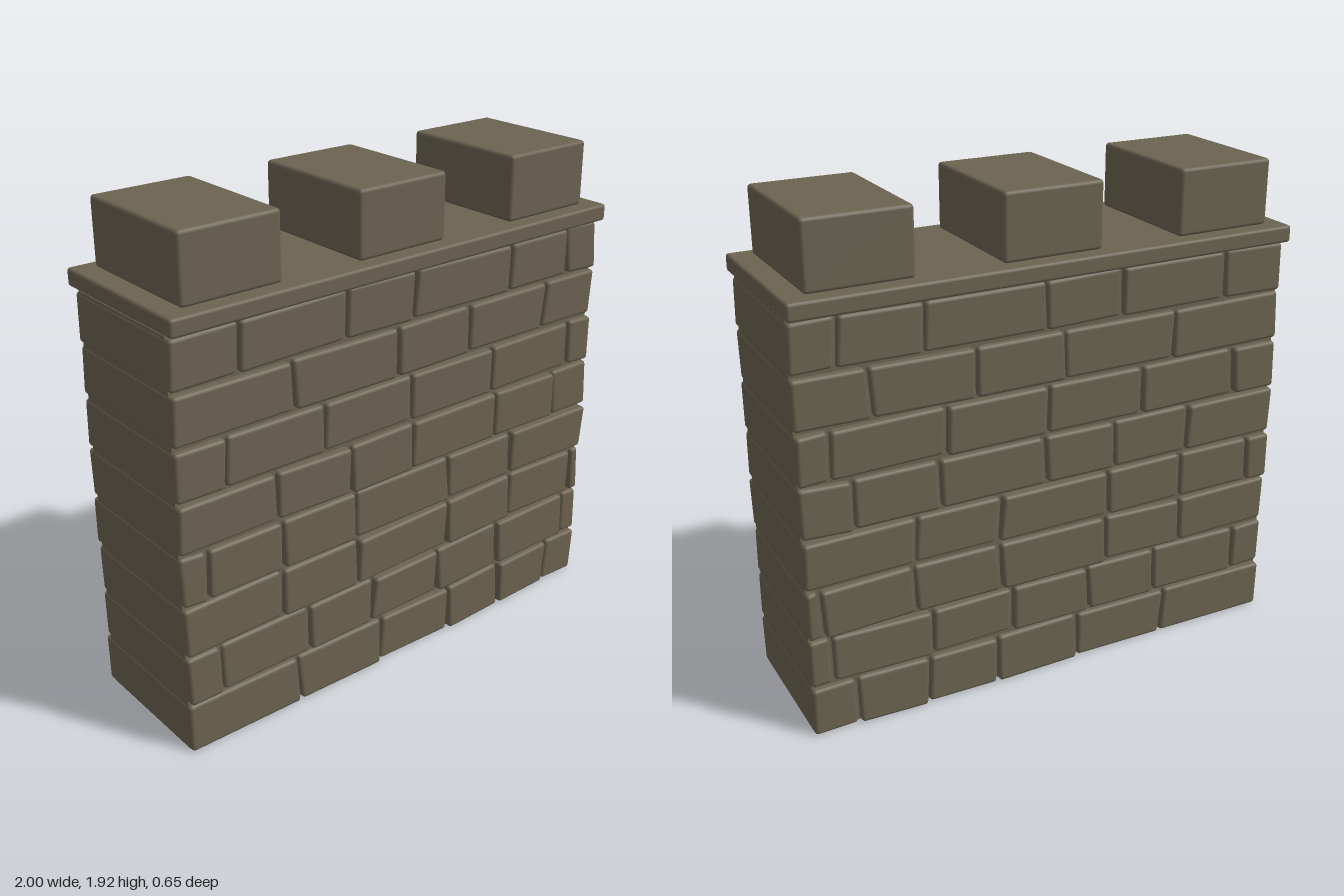
import * as THREE from 'three';
import { RoundedBoxGeometry } from 'three/addons/geometries/RoundedBoxGeometry.js';

// Brick joints along x for each course, bottom to top
const COURSES = [
  [-1, -0.51, -0.11, 0.245, 0.535, 0.82, 1],
  [-1, -0.85, -0.46, -0.155, 0.18, 0.515, 0.91, 1],
  [-1, -0.575, -0.23, 0.23, 0.58, 0.94, 1],
  [-1, -0.89, -0.57, -0.235, 0.23, 0.57, 1],
  [-1, -0.59, -0.26, 0.04, 0.47, 0.8, 1],
  [-1, -0.795, -0.375, 0.03, 0.44, 0.875, 1],
  [-1, -0.51, -0.04, 0.32, 0.72, 1],
  [-1, -0.73, -0.275, 0.04, 0.515, 0.83, 1],
];
const PITCH = 0.2;
const GAP = 0.013;
const END = 0.993;

function seeded(seed) {
  let s = seed;
  return () => (s = (s * 16807) % 2147483647) / 2147483647;
}

export function createModel() {
  const group = new THREE.Group();
  const stone = new THREE.MeshStandardMaterial({ color: 0x6b6351 });
  stone.name = 'stone';
  const rand = seeded(4217);
  const jitter = (a) => (rand() * 2 - 1) * a;

  function block(name, parent, w, h, d, x, y, z, radius) {
    const mesh = new THREE.Mesh(new RoundedBoxGeometry(w, h, d, 2, radius), stone);
    mesh.name = name;
    mesh.position.set(x, y, z);
    parent.add(mesh);
    return mesh;
  }

  // Mortar core, seen in the joints between the bricks
  const core = new THREE.Mesh(new THREE.BoxGeometry(1.98, 1.595, 0.54), stone);
  core.name = 'mortarCore';
  core.position.y = 0.8;
  group.add(core);

  // Bricks run through the full thickness; each is slightly skewed
  COURSES.forEach((joints, row) => {
    const course = new THREE.Group();
    course.name = 'brickCourse' + (row + 1);
    group.add(course);
    const y0 = row === 0 ? 0 : row * PITCH + 0.008;
    const y1 = (row + 1) * PITCH - 0.006;
    const h = y1 - y0;
    const tilts = joints.map((j) => (Math.abs(j) === 1 ? 0 : jitter(0.007)));

    for (let i = 0; i < joints.length - 1; i++) {
      const x0 = i === 0 ? -END : joints[i] + GAP / 2;
      const x1 = i === joints.length - 2 ? END : joints[i + 1] - GAP / 2;
      const w = x1 - x0;
      const d = 0.59;
      const mesh = block('brick', course, w, h, d, (x0 + x1) / 2, (y0 + y1) / 2, 0, 0.014);
      const face = [0, 1].map(() => ({ out: jitter(0.006), lean: jitter(0.008), turn: jitter(0.006) }));
      const sag = row === 0 ? 0 : jitter(0.003);
      const p = mesh.geometry.attributes.position;
      for (let k = 0; k < p.count; k++) {
        const u = p.getX(k) / w, v = p.getY(k) / h, s = Math.sign(p.getZ(k));
        const f = face[s > 0 ? 0 : 1];
        const tilt = tilts[i] * (0.5 - u) + tilts[i + 1] * (0.5 + u);
        p.setXYZ(k,
          p.getX(k) + tilt * v * 2,
          p.getY(k) + sag * u * 2,
          p.getZ(k) + s * (f.out + f.lean * v * 2 + f.turn * u * 2));
      }
    }
  });

  // Overhanging cap slab
  block('capSlab', group, 2, 0.066, 0.652, 0, 1.635, 0, 0.012);

  // Battlements
  for (const x of [-0.725, -0.002, 0.722]) {
    block('merlon', group, 0.395, 0.252, 0.535, x, 1.794, 0, 0.014);
  }
  return group;
}
